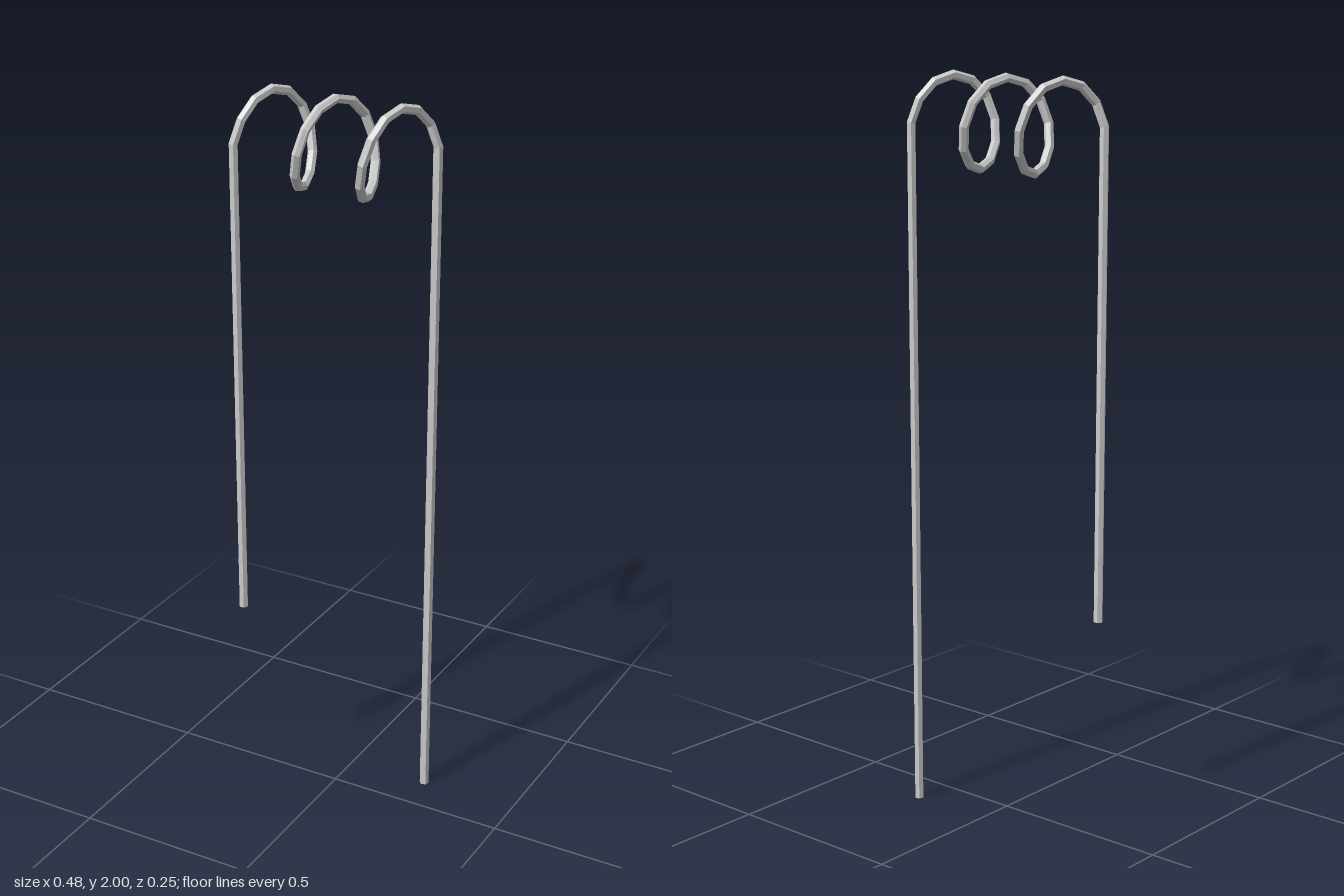
import * as THREE from 'three';

const SIDES = 6, WIRE = 0.0128;
const TURNS = 2.5, STEPS = 12;             // coil turns, segments per turn
const HALF = 0.228, MID_Y = 1.866;         // half coil length, coil axis height
const RY = 0.119, RZ = 0.113, LEG_Z = 0.108;

// Straight-segment path whose rings sit exactly on its corners
class WirePath extends THREE.Curve {
  constructor(points) {
    super();
    this.points = points;
  }
  index(t) {
    return Math.round(t * (this.points.length - 1));
  }
  getPointAt(t, target = new THREE.Vector3()) {
    return target.copy(this.points[this.index(t)]);
  }
  getTangentAt(t, target = new THREE.Vector3()) {
    const p = this.points, i = this.index(t);
    target.set(0, 0, 0);
    if (i > 0) target.add(p[i].clone().sub(p[i - 1]).normalize());
    if (i < p.length - 1) target.add(p[i + 1].clone().sub(p[i]).normalize());
    return target.normalize();
  }
}

// Tube along the corners, closed at both ends
function wireGeometry(points) {
  const segments = points.length - 1;
  const geometry = new THREE.TubeGeometry(new WirePath(points), segments, WIRE, SIDES, false);
  const index = Array.from(geometry.index.array);
  const last = segments * (SIDES + 1);
  for (let j = 1; j < SIDES - 1; j++) {
    index.push(0, j, j + 1);
    index.push(last, last + j + 1, last + j);
  }
  geometry.setIndex(index);
  return geometry;
}

export function createModel() {
  const group = new THREE.Group();
  group.name = 'torsionSpring';

  // Short front leg, coil over the top, long back leg
  const points = [new THREE.Vector3(-HALF, 0.555, LEG_Z)];
  const count = TURNS * STEPS;
  for (let i = 0; i <= count; i++) {
    const a = (i / STEPS) * Math.PI * 2;
    points.push(new THREE.Vector3(
      -HALF + (2 * HALF * i) / count,
      MID_Y + RY * Math.sin(a),
      RZ * Math.cos(a)
    ));
  }
  points.push(new THREE.Vector3(HALF, 0, -LEG_Z));

  const wire = new THREE.Mesh(
    wireGeometry(points),
    new THREE.MeshStandardMaterial({ color: 0xcccccc, flatShading: true })
  );
  wire.name = 'coiledWire';
  group.add(wire);
  return group;
}
